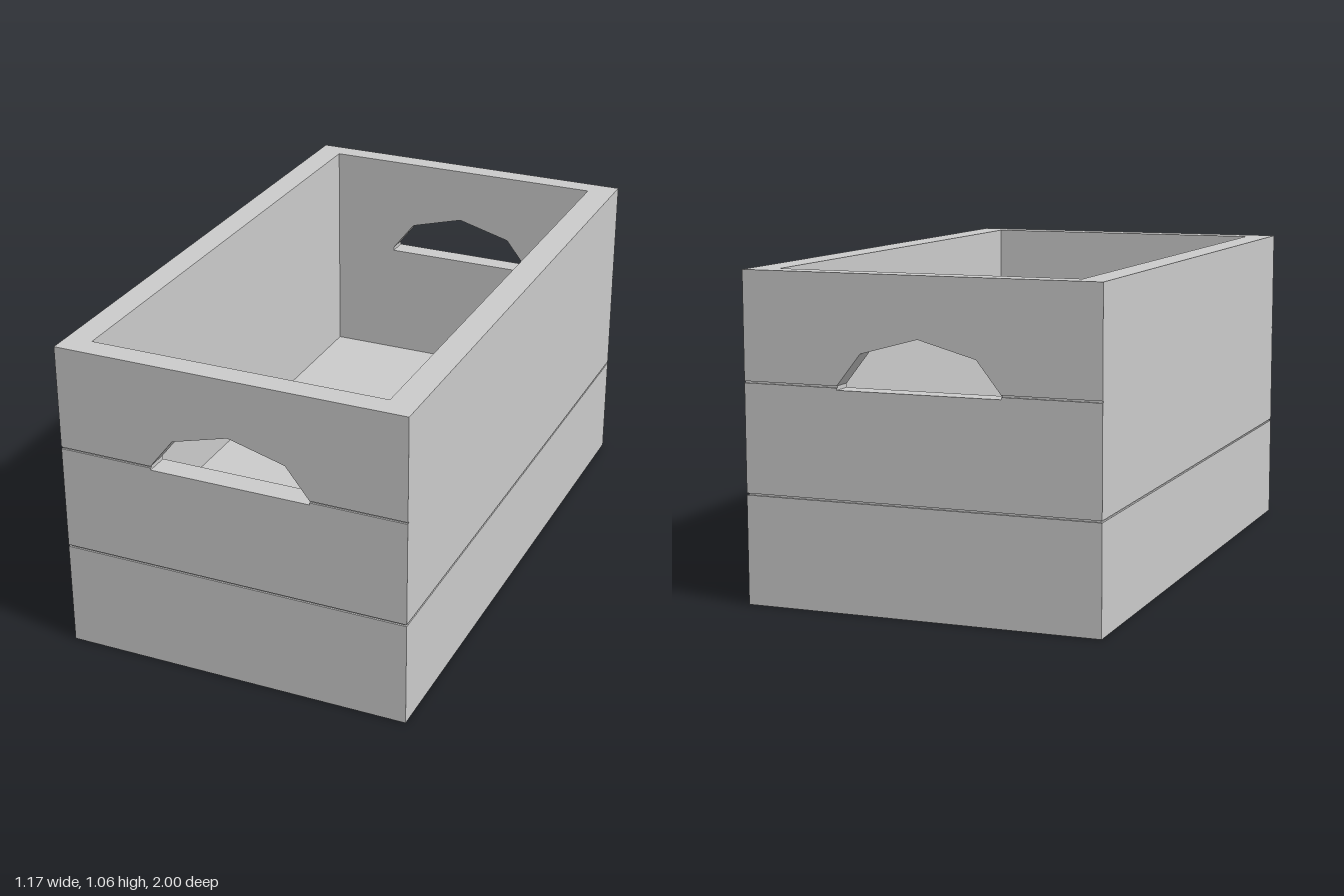
import * as THREE from 'three';

const W = 1.175, L = 2, H = 1.06;          // outer size
const FLOOR = 0.29;                        // height of the inside floor
const IN = { x0: -0.5, x1: 0.494, z0: -0.93, z1: 0.92 }; // inner opening
const CUT = 0.006, GAP = 0.003;            // groove depth and half height
const SEAM1 = 0.355, SEAM2 = 0.71;         // groove heights

const material = new THREE.MeshStandardMaterial({ color: 0xcccccc });

export function createModel() {
  const crate = new THREE.Group();
  crate.name = 'crate';

  const add = (name, geometry, parent = crate) => {
    const mesh = new THREE.Mesh(geometry, material);
    mesh.name = name;
    parent.add(mesh);
    return mesh;
  };
  // Box given by its limits on each axis
  const block = (name, x0, x1, y0, y1, z0, z1) =>
    add(name, new THREE.BoxGeometry(x1 - x0, y1 - y0, z1 - z0))
      .position.set((x0 + x1) / 2, (y0 + y1) / 2, (z0 + z1) / 2);
  // Upright board with a given outline, between two z limits
  const board = (name, points, z0, z1) => {
    const shape = new THREE.Shape(points.map(([x, y]) => new THREE.Vector2(x, y)));
    const geometry = new THREE.ExtrudeGeometry(shape, { depth: z1 - z0, bevelEnabled: false });
    add(name, geometry).position.z = z0;
  };

  const hx = W / 2, hz = L / 2;

  // Solid bottom
  block('base', -hx, hx, 0, FLOOR, -hz, hz);

  // Long sides: one groove, closed by a recessed strip
  for (const [name, x0, x1, s0, s1] of [
    ['rightSide', -hx, IN.x0, -hx + CUT, IN.x0],
    ['leftSide', IN.x1, hx, IN.x1, hx - CUT],
  ]) {
    block(name + 'LowerBoard', x0, x1, FLOOR, SEAM1 - GAP, IN.z0, IN.z1);
    block(name + 'Groove', s0, s1, SEAM1 - GAP, SEAM1 + GAP, IN.z0, IN.z1);
    block(name + 'UpperBoard', x0, x1, SEAM1 + GAP, H, IN.z0, IN.z1);
  }

  // Ends: three boards, two grooves and a hand hole cut across the upper seam
  const a = 0.27, sill = 0.7;
  const middle = [
    [-hx, SEAM1 + GAP], [hx, SEAM1 + GAP], [hx, SEAM2 - GAP], [a, SEAM2 - GAP],
    [a, sill], [-a, sill], [-a, SEAM2 - GAP], [-hx, SEAM2 - GAP],
  ];
  const top = [
    [-hx, SEAM2 + GAP], [-a, SEAM2 + GAP], [-0.19, 0.815], [0, 0.867], [0.19, 0.815],
    [a, SEAM2 + GAP], [hx, SEAM2 + GAP], [hx, H], [-hx, H],
  ];
  for (const [name, z0, z1, s0, s1] of [
    ['frontEnd', IN.z1, hz, IN.z1, hz - CUT],
    ['backEnd', -hz, IN.z0, -hz + CUT, IN.z0],
  ]) {
    block(name + 'LowerBoard', -hx, hx, FLOOR, SEAM1 - GAP, z0, z1);
    block(name + 'LowerGroove', -hx + CUT, hx - CUT, SEAM1 - GAP, SEAM1 + GAP, s0, s1);
    board(name + 'MiddleBoard', middle, z0, z1);
    for (const [x0, x1] of [[-hx, -a], [a, hx]]) {
      block(name + 'UpperGroove', x0, x1, SEAM2 - GAP, SEAM2 + GAP, s0, s1);
    }
    board(name + 'TopBoard', top, z0, z1);
  }

  return crate;
}
